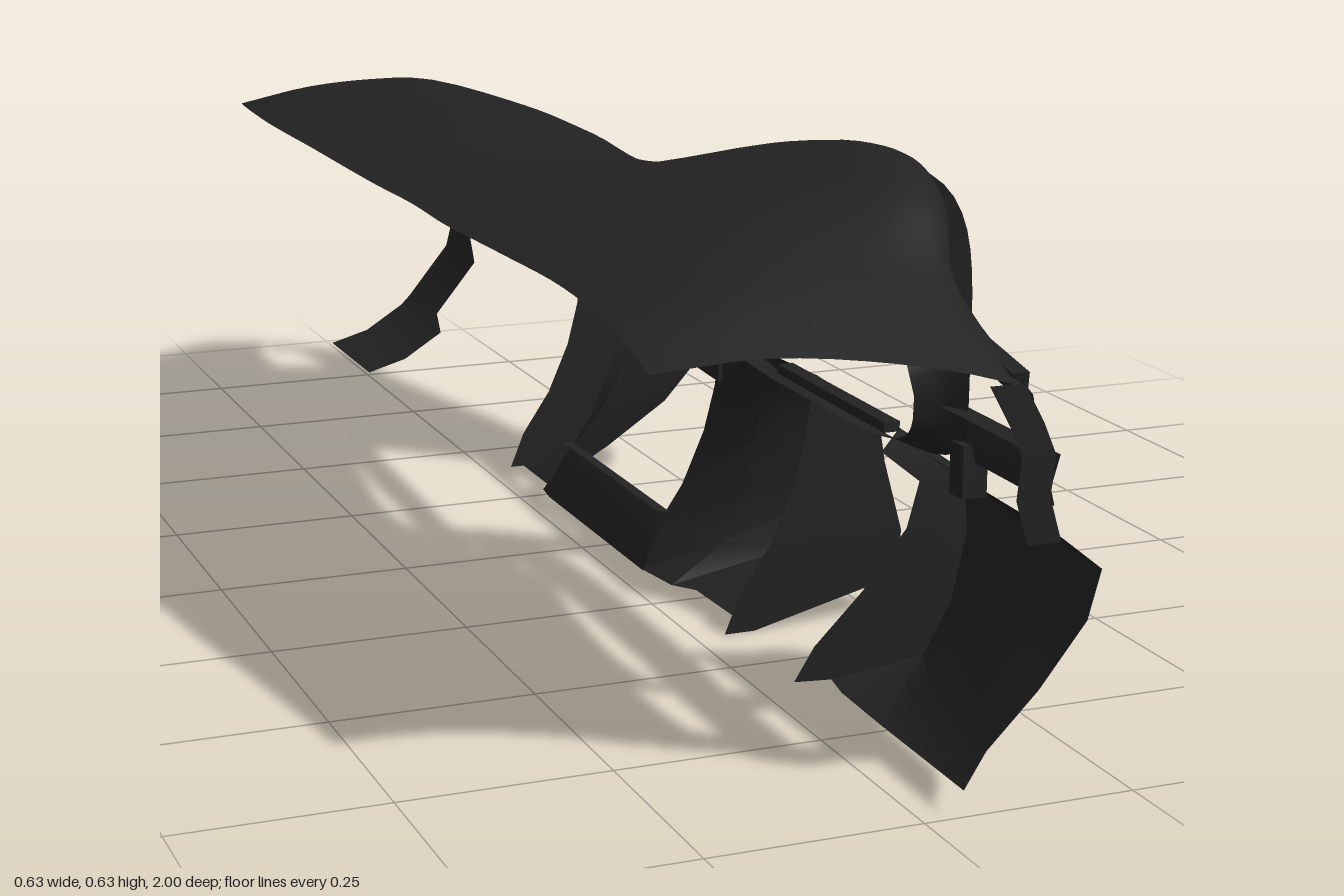
import * as THREE from 'three';
import { toCreasedNormals } from 'three/addons/utils/BufferGeometryUtils.js';

const black = new THREE.MeshStandardMaterial({ color: 0x222222, side: THREE.DoubleSide });
black.name = 'soft black';

// Resamples points along a smooth curve; one step per leg keeps them as they are
function resample(points, perLeg) {
  if (perLeg === 1) return points;
  return new THREE.CatmullRomCurve3(points, false, 'centripetal').getSpacedPoints === undefined ? points
    : Array.from({ length: (points.length - 1) * perLeg + 1 }, (_, i) =>
      new THREE.CatmullRomCurve3(points, false, 'centripetal').getPoint(i / ((points.length - 1) * perLeg)));
}

// Skin through rows of Vector3, all rows of equal length
function sheet(name, rows, along = 1, across = 1) {
  const grid = rows.map(row => resample(row, across));
  const columns = grid[0].map((_, j) => resample(grid.map(row => row[j]), along));
  const m = columns[0].length, index = [];
  for (let j = 0; j < columns.length - 1; j++)
    for (let i = 0; i < m - 1; i++) {
      const a = j * m + i;
      index.push(a, a + 1, a + m, a + 1, a + m + 1, a + m);
    }
  const geo = new THREE.BufferGeometry().setFromPoints(columns.flat());
  geo.setIndex(index);
  const mesh = new THREE.Mesh(toCreasedNormals(geo, 0.65), black);
  mesh.name = name;
  return mesh;
}

// Cross-section of [x, y] points at station z, optionally shifted in x
const at = (z, profile, dx = 0) => profile.map(([x, y]) => new THREE.Vector3(x + dx, y, z));

// Blend of two profiles
const mix = (p, q, w) => p.map(([x, y], i) => [x + (q[i][0] - x) * w, y + (q[i][1] - y) * w]);

// Straight bar between two points
function bar(name, a, b, height, depth) {
  const from = new THREE.Vector3(...a), to = new THREE.Vector3(...b);
  const mesh = new THREE.Mesh(new THREE.BoxGeometry(depth, height, from.distanceTo(to)), black);
  mesh.position.copy(from).add(to).multiplyScalar(0.5);
  mesh.lookAt(to);
  mesh.name = name;
  return mesh;
}

// Top pad section: rear edge, gentle crown, crest, lip and return; skew bends the end forward
function padRow([z, backX, backY, lipX, lipY, skew]) {
  const crestX = lipX - 0.045, crestY = lipY + 0.02;
  const crown = [0, 0.38, 0.75, 1].map(t => [
    THREE.MathUtils.lerp(backX, crestX, t),
    THREE.MathUtils.lerp(backY, crestY, t) + 0.05 * t * (1 - t),
  ]);
  return [...crown, [lipX, lipY], [lipX - 0.003, lipY - 0.025]].map(([x, y]) =>
    new THREE.Vector3(x, y, z + skew * Math.min(1, (x - backX) / (crestX - backX)) ** 2));
}

// Rounded arch around the instruments, flatter below than above
function archRow(halfWidth, rise, fall, depth) {
  return Array.from({ length: 49 }, (_, i) => {
    const a = i / 48 * Math.PI * 2, s = Math.sin(a), c = Math.cos(a);
    const power = s > 0 ? 0.9 : 0.5;
    const y = 0.4 + (s > 0 ? rise : -fall) * Math.abs(s) ** power;
    const up = Math.max(0, s);
    const x = 0.135 + 0.08 * up ** 2 - depth * (1 + up);
    return new THREE.Vector3(x, y, 0.52 + halfWidth * Math.sign(c) * Math.abs(c) ** power);
  });
}

export function createModel() {
  const g = new THREE.Group();
  g.name = 'dashboard';

  // Top pad, rising into the instrument hood
  g.add(sheet('topPad', [
    [0.87, -0.26, 0.475, 0.11, 0.452, 0.13],
    [0.78, -0.26, 0.5, 0.125, 0.525, 0.02],
    [0.65, -0.27, 0.52, 0.187, 0.587, 0],
    [0.5, -0.29, 0.53, 0.218, 0.605, 0],
    [0.35, -0.305, 0.535, 0.18, 0.584, 0],
    [0.24, -0.31, 0.54, 0.118, 0.545, 0],
    [0.1, -0.315, 0.54, 0.075, 0.53, 0],
    [-0.2, -0.31, 0.535, 0.1, 0.523, 0],
    [-0.5, -0.29, 0.52, 0.117, 0.512, 0],
    [-0.87, -0.235, 0.49, 0.1, 0.493, 0],
    [-0.89, -0.225, 0.485, 0.1, 0.46, -0.11],
  ].map(padRow), 5, 4));

  // Instrument opening, from the hood lip back to the inner rim
  g.add(sheet('instrumentBezel', [
    archRow(0.3, 0.2, 0.09, 0), archRow(0.28, 0.165, 0.08, 0.02), archRow(0.268, 0.14, 0.07, 0.05),
  ], 3));

  // Vent frame and end strip on the driver side
  const ventSill = [[0.11, 0.39], [0.145, 0.385], [0.135, 0.35], [0.14, 0.33]];
  g.add(sheet('driverVentSill', [at(0.8, ventSill), at(1, ventSill)]));
  const endStrip = [[0.1, 0.465], [0.125, 0.42], [0.14, 0.385], [0.135, 0.34], [0.15, 0.29]];
  g.add(sheet('driverEndStrip', [at(0.965, endStrip), at(1, endStrip), at(1, endStrip, -0.04)]));
  g.add(bar('driverVentTop', [0.11, 0.49, 0.81], [0.1, 0.464, 0.99], 0.02, 0.02));
  g.add(bar('switchPanelPost', [0.14, 0.32, 0.8], [0.14, 0.32, 0.83], 0.06, 0.03));

  // Lower driver panel, flaring out beside the steering column gap
  const flare = [[0.16, 0.32], [0.245, 0.26], [0.255, 0.2], [0.28, 0.11], [0.28, 0.05], [0.08, 0]];
  const driverFlare = flare.map(([x, y]) => [x - 0.015, Math.max(y, 0.025)]);
  const driverEnd = [[0.15, 0.295], [0.2, 0.255], [0.185, 0.2], [0.13, 0.13], [0.07, 0.07], [0.045, 0.03]];
  g.add(sheet('driverLowerPanel', [[1, 0], [0.8, 0.2], [0.69, 0.45], [0.64, 1]]
    .map(([z, w]) => at(z, mix(driverEnd, driverFlare, w)))
    .concat([at(0.645, driverEnd, -0.03)])));

  // Centre console: leaning face with a cheek on each side
  const lean = [[0.15, 0.28], [0.145, 0.24], [0.13, 0.18], [0.1, 0.11], [0.06, 0.05], [0.04, 0]];
  g.add(sheet('consoleDriverCheek', [[0.11, 0], [0.19, 0.3], [0.22, 0.85], [0.39, 1], [0.39, 0]]
    .map(([z, w]) => at(z, mix(lean, flare, w)))));
  const knee = [[0.19, 0.3], [0.295, 0.26], [0.312, 0.19], [0.24, 0.11], [0.15, 0.05], [0.06, 0]];
  g.add(sheet('consolePassengerCheek', [[-0.235, 0], [-0.275, 0.25], [-0.29, 1], [-0.4, 1], [-0.4, 0]]
    .map(([z, w]) => at(z, mix(lean, knee, w)))));
  const sill = [[0.06, 0.08], [0.08, 0.075], [0.06, 0.05], [0.04, 0], [0.08, 0.003]];
  g.add(sheet('consoleBottomBar', [at(0.12, sill), at(-0.24, sill)]));
  g.add(bar('consoleMiddleBar', [0.14, 0.267, 0.14], [0.16, 0.267, -0.27], 0.027, 0.006));
  g.add(bar('instrumentLowerBar', [0.13, 0.325, 0.65], [0.13, 0.325, 0.36], 0.012, 0.02));

  // Screen surround
  const pillar = [[0.1, 0.51], [0.12, 0.45], [0.15, 0.39], [0.165, 0.34], [0.18, 0.26]];
  g.add(sheet('screenDriverPillar', [at(0.14, pillar, -0.03), at(0.18, pillar), at(0.24, pillar, -0.005)]));
  g.add(bar('screenTopBar', [0.085, 0.46, 0.16], [0.1, 0.46, -0.29], 0.024, 0.03));

  // Passenger fascia with its protruding trim ridge
  const inboard = [[0.1, 0.497], [0.11, 0.45], [0.14, 0.41], [0.14, 0.385], [0.15, 0.34], [0.16, 0.27]];
  const ridge = [[0.11, 0.49], [0.14, 0.45], [0.21, 0.402], [0.19, 0.385], [0.215, 0.34], [0.26, 0.262]];
  const outboard = [[0.1, 0.47], [0.12, 0.45], [0.175, 0.395], [0.16, 0.38], [0.17, 0.34], [0.18, 0.287]];
  g.add(sheet('passengerFascia', [
    at(-0.27, inboard), at(-0.32, mix(inboard, ridge, 0.6)), at(-0.4, ridge),
    at(-0.5, mix(ridge, outboard, 0.2)), at(-0.82, outboard),
  ]));

  // Vent frame and end strip on the passenger side
  const lower = outboard.slice(2);
  g.add(sheet('passengerVentSill', [at(-0.82, lower), at(-1, lower, -0.03), at(-1, lower, -0.08)]));
  const shortStrip = endStrip.slice(0, 3);
  g.add(sheet('passengerEndStrip', [at(-0.96, shortStrip), at(-1, shortStrip), at(-1, shortStrip, -0.06)]));
  g.add(bar('passengerVentTop', [0.105, 0.461, -0.82], [0.1, 0.455, -0.99], 0.018, 0.02));

  // Curved bracket hanging from the passenger end
  const sweep = [[0.14, 0.295], [0.15, 0.25], [0.14, 0.21], [0.075, 0.13], [0.06, 0.115], [0, 0.077], [-0.06, 0.06]];
  const inner = at(-0.9, sweep);
  inner.forEach((p, i) => { p.z = i < 2 ? -0.91 : i < 4 ? -0.855 : -0.79; });
  g.add(sheet('passengerEndBracket', [inner, at(-1, sweep), at(-1, sweep, 0.015)]));

  return g;
}
